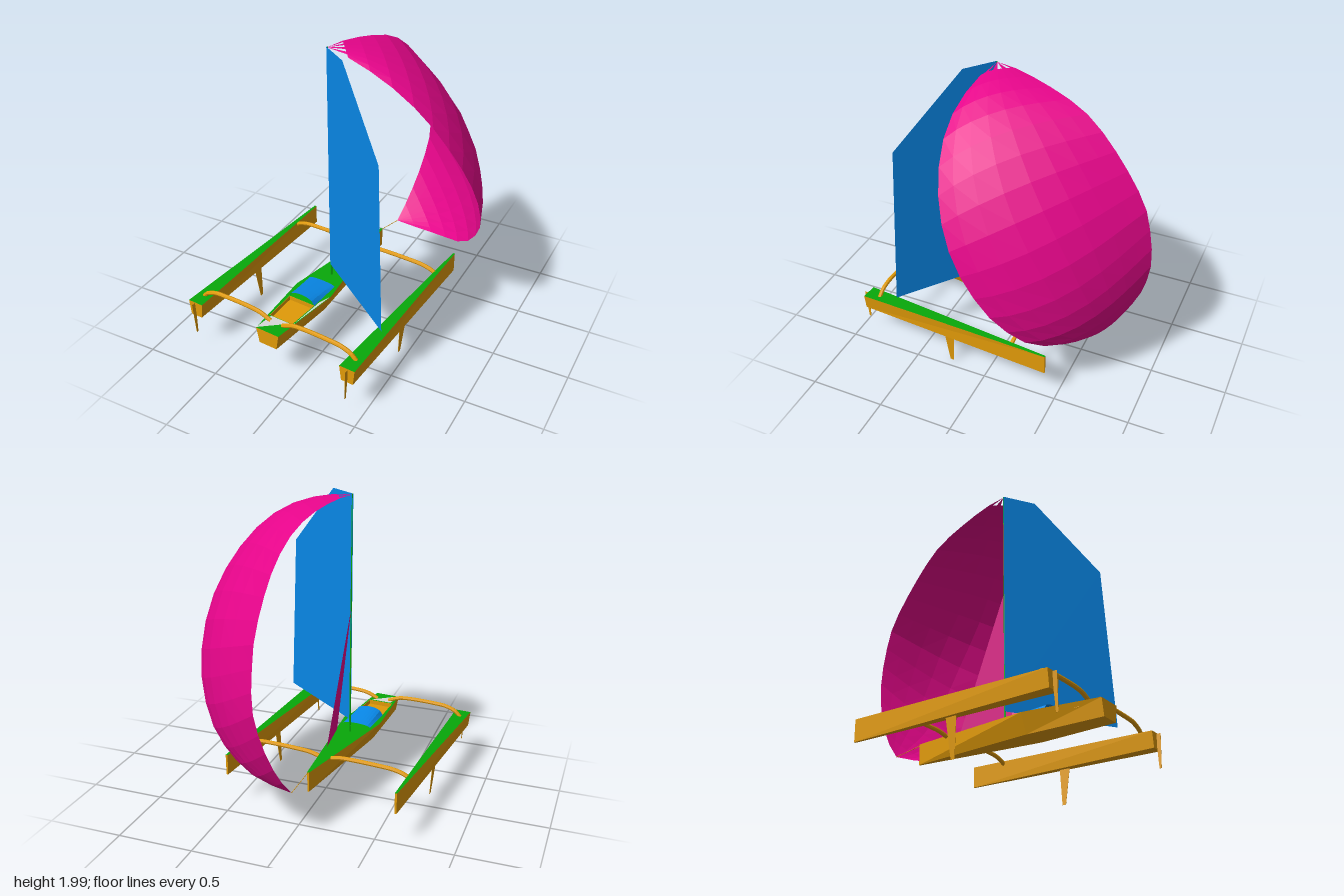
import * as THREE from 'three';

const mat = (name, color) => {
  const m = new THREE.MeshStandardMaterial({ color, side: THREE.DoubleSide, flatShading: true });
  m.name = name;
  return m;
};
const v3 = (p) => new THREE.Vector3(...p);

export function createModel() {
  const orange = mat('hull orange', 0xe09a08);
  const green = mat('deck green', 0x08a80a);
  const blue = mat('sail blue', 0x0888e8);
  const pink = mat('sail pink', 0xee058f);
  const grey = mat('pale grey', 0xd8d8d8);

  const model = new THREE.Group();
  model.name = 'trimaran';
  // Boat frame: bow towards -z, turned a little off the axis
  const boat = new THREE.Group();
  boat.name = 'boat';
  boat.position.set(-0.1, 0, -0.009);
  boat.rotation.y = -0.087;
  model.add(boat);

  const add = (parent, name, geo, material) => {
    const mesh = new THREE.Mesh(geo, material);
    mesh.name = name;
    parent.add(mesh);
    return mesh;
  };
  const bend = (geo, rule) => {
    const p = geo.attributes.position;
    const v = new THREE.Vector3();
    for (let i = 0; i < p.count; i++) {
      rule(v.fromBufferAttribute(p, i));
      p.setXYZ(i, v.x, v.y, v.z);
    }
    geo.computeVertexNormals();
    return geo;
  };

  // Hull through stations [z, deckY, deckHalf, keelY, keelHalf], bow first
  const hull = (stations, withDeck) => {
    const rings = stations.map(([z, dy, dh, ky, kh]) =>
      [[-dh, dy, z], [-kh, ky, z], [kh, ky, z], [dh, dy, z]]);
    const pos = [];
    const quad = (a, b, c, d) => pos.push(...a, ...b, ...d, ...b, ...c, ...d);
    const strip = (j) => {
      for (let i = 0; i + 1 < rings.length; i++) {
        const B = rings[i], S = rings[i + 1], k = (j + 1) % 4;
        quad(S[k], S[j], B[j], B[k]);
      }
    };
    [0, 1, 2].forEach(strip);
    const B = rings[0], S = rings[rings.length - 1];
    quad(S[0], S[1], S[2], S[3]);
    quad(B[3], B[2], B[1], B[0]);
    const sides = pos.length / 3;
    if (withDeck) strip(3);
    const geo = new THREE.BufferGeometry();
    geo.setAttribute('position', new THREE.Float32BufferAttribute(pos, 3));
    geo.addGroup(0, sides, 0);
    geo.addGroup(sides, pos.length / 3 - sides, 1);
    geo.computeVertexNormals();
    return geo;
  };

  // Flat deck panel from [x, z] points, following the sheer of the deck
  const deckY = (z) => 0.362 + (0.877 - z) * 0.0096;
  const outline = (pts, C) => new C(pts.map(([x, z]) => new THREE.Vector2(x, -z)));
  const panel = (pts, lift, hole) => {
    const shape = outline(pts, THREE.Shape);
    if (hole) shape.holes.push(outline(hole, THREE.Path));
    return bend(new THREE.ShapeGeometry(shape).rotateX(-Math.PI / 2), (v) => { v.y = deckY(v.z) + lift; });
  };

  // Main hull, deck and cockpit
  add(boat, 'mainHull', hull([
    [-0.478, deckY(-0.478), 0.007, 0.24, 0.005],
    [0.38, deckY(0.38), 0.135, 0.245, 0.085],
    [0.877, deckY(0.877), 0.085, 0.255, 0.065],
  ]), [orange, green]);
  const well = [[-0.097, 0.51], [0.097, 0.51], [0.087, 0.735], [-0.087, 0.735]];
  add(boat, 'mainDeck', panel([[-0.007, -0.478], [0.007, -0.478], [0.135, 0.38],
    [0.085, 0.877], [-0.085, 0.877], [-0.135, 0.38]], 0, well), green);
  add(boat, 'cockpitFloor', panel(well, -0.03), orange);
  well.forEach(([x, z], i) => {
    const [x2, z2] = well[(i + 1) % 4];
    const wall = add(boat, 'cockpitWall',
      new THREE.BoxGeometry(Math.hypot(x2 - x, z2 - z), 0.03, 0.004), orange);
    wall.position.set((x + x2) / 2, deckY((z + z2) / 2) - 0.016, (z + z2) / 2);
    wall.rotation.y = -Math.atan2(z2 - z, x2 - x);
  });
  add(boat, 'aftDeckPatch', panel([[-0.085, 0.877], [-0.073, 0.74], [0.074, 0.74]], 0.003), grey);
  add(boat, 'sideDeckPatch', panel([[0.135, 0.383], [0.107, 0.47], [0.095, 0.74]], 0.003), grey);

  // Arched cabin roof, rising aft and open towards the cockpit
  add(boat, 'cabinRoof', bend(
    new THREE.PlaneGeometry(0.2, 0.235, 10, 3).rotateX(-Math.PI / 2).translate(0, 0, 0.398), (v) => {
      const t = (v.z - 0.28) / 0.235;
      v.y = deckY(v.z) + 0.003 + (0.015 + 0.033 * t) * Math.sqrt(Math.max(0, 1 - (v.x / 0.1) ** 2));
    }), blue);

  // Thin foil from [z, y] points, leaning inward below the float
  const foil = (pts, side) => bend(new THREE.ExtrudeGeometry(
    new THREE.Shape(pts.map((p) => new THREE.Vector2(...p))), { depth: 0.002, bevelEnabled: false })
    .rotateY(-Math.PI / 2), (v) => { v.x += side * (0.588 - 0.09 * Math.max(0, 0.24 - v.y)) + 0.001; });

  const beam = (side, pts, z) => new THREE.TubeGeometry(
    new THREE.CatmullRomCurve3(pts.map(([x, y]) => new THREE.Vector3(side * x, y, z))), 24, 0.014, 8);

  // Floats, foils and crossbeams on both sides
  for (const side of [-1, 1]) {
    const float = add(boat, 'float', hull([
      [-0.482, 0.37, 0.007, 0.23, 0.006],
      [0.875, 0.345, 0.054, 0.24, 0.042],
    ], true), [orange, green]);
    float.position.x = side * 0.582;
    add(boat, 'daggerboard', foil([[0.19, 0.25], [0.215, 0], [0.24, 0], [0.265, 0.25]], side), orange);
    add(boat, 'rudder', foil([[0.87, 0.34], [0.882, 0.12], [0.896, 0.12], [0.902, 0.34]], side), orange);
    add(boat, 'aftBeam', beam(side, [[0.588, 0.338], [0.55, 0.375], [0.48, 0.401], [0.4, 0.407],
      [0.2, 0.407], [0.12, 0.397], [0.045, 0.365]], 0.78), orange);
    add(boat, 'forwardBeam', beam(side, [[0.578, 0.345], [0.54, 0.365], [0.47, 0.382], [0.38, 0.386],
      [0.2, 0.386], [0.11, 0.382], [0.045, 0.368]], -0.233), orange);
  }

  // Mast
  const mast = add(boat, 'mast', new THREE.CylinderGeometry(0.003, 0.006, 1.62, 8), green);
  mast.position.set(0.003, 1.18, 0.174);

  // Flat sails as triangle fans
  const flatSail = (pts) => {
    const pos = [];
    for (let i = 1; i + 1 < pts.length; i++) pos.push(...pts[0], ...pts[i], ...pts[i + 1]);
    const geo = new THREE.BufferGeometry();
    geo.setAttribute('position', new THREE.Float32BufferAttribute(pos, 3));
    geo.computeVertexNormals();
    return geo;
  };
  add(model, 'mainsail', flatSail([[-0.118, 0.455, 0.168], [0.49, 0.455, 0.635], [0.44, 1.555, 0.598],
    [0.063, 1.99, 0.308], [-0.118, 1.99, 0.168]]), blue);
  add(model, 'jib', flatSail([[-0.07, 0.405, -0.175], [-0.02, 0.372, 0.165], [-0.115, 1.26, 0.165]]), pink);

  // Spinnaker: a billowing surface between two curved edges
  const head = [-0.115, 1.985, 0.165], tack = [-0.03, 0.335, -0.69];
  const luff = new THREE.CatmullRomCurve3([head, [-0.08, 1.985, 0.025], [-0.01, 1.945, -0.23],
    [0.04, 1.86, -0.46], [0.08, 1.69, -0.655], [0.1, 1.37, -0.87], [0.1, 1.18, -0.92],
    [0.095, 0.98, -0.943], [0.07, 0.8, -0.92], [0.035, 0.62, -0.865], [0, 0.46, -0.785], tack].map(v3));
  const leech = new THREE.CatmullRomCurve3([head, [0.1, 1.95, 0.21], [0.37, 1.835, 0.235],
    [0.555, 1.68, 0.215], [0.71, 1.45, 0.15], [0.79, 1.235, 0.06], [0.81, 1.08, -0.02],
    [0.785, 0.83, -0.17], [0.7, 0.64, -0.3], [0.585, 0.505, -0.405], [0.33, 0.39, -0.58],
    [0.14, 0.35, -0.65], tack].map(v3));
  const centre = new THREE.Vector3(0.1, 1.1, -0.1);
  const rows = 18, columns = 8;
  const edges = [luff.getSpacedPoints(rows), leech.getSpacedPoints(rows)];
  const spinnaker = bend(new THREE.PlaneGeometry(1, 1, columns, rows), (v) => {
    const u = v.x + 0.5, t = 0.5 - v.y, i = Math.round(t * rows);
    v.lerpVectors(edges[0][i], edges[1][i], u);
    const out = v.clone().sub(centre).normalize();
    v.addScaledVector(out, 0.45 * u * (1 - u) * (0.72 + 0.65 * u) * Math.sin(Math.PI * t) ** 1.2);
  });
  // Open every other strip at the head so it ends in narrow tapes
  spinnaker.setIndex([...spinnaker.index.array].filter((_, i) =>
    i >= columns * 6 || Math.floor(i / 6) % 2 === 0));
  add(model, 'spinnaker', spinnaker, pink);

  // Line from the bow to the sail corner
  add(model, 'tackLine', new THREE.TubeGeometry(
    new THREE.LineCurve3(v3([-0.055, 0.37, -0.485]), v3(tack)), 1, 0.002, 5), orange);

  return model;
}
